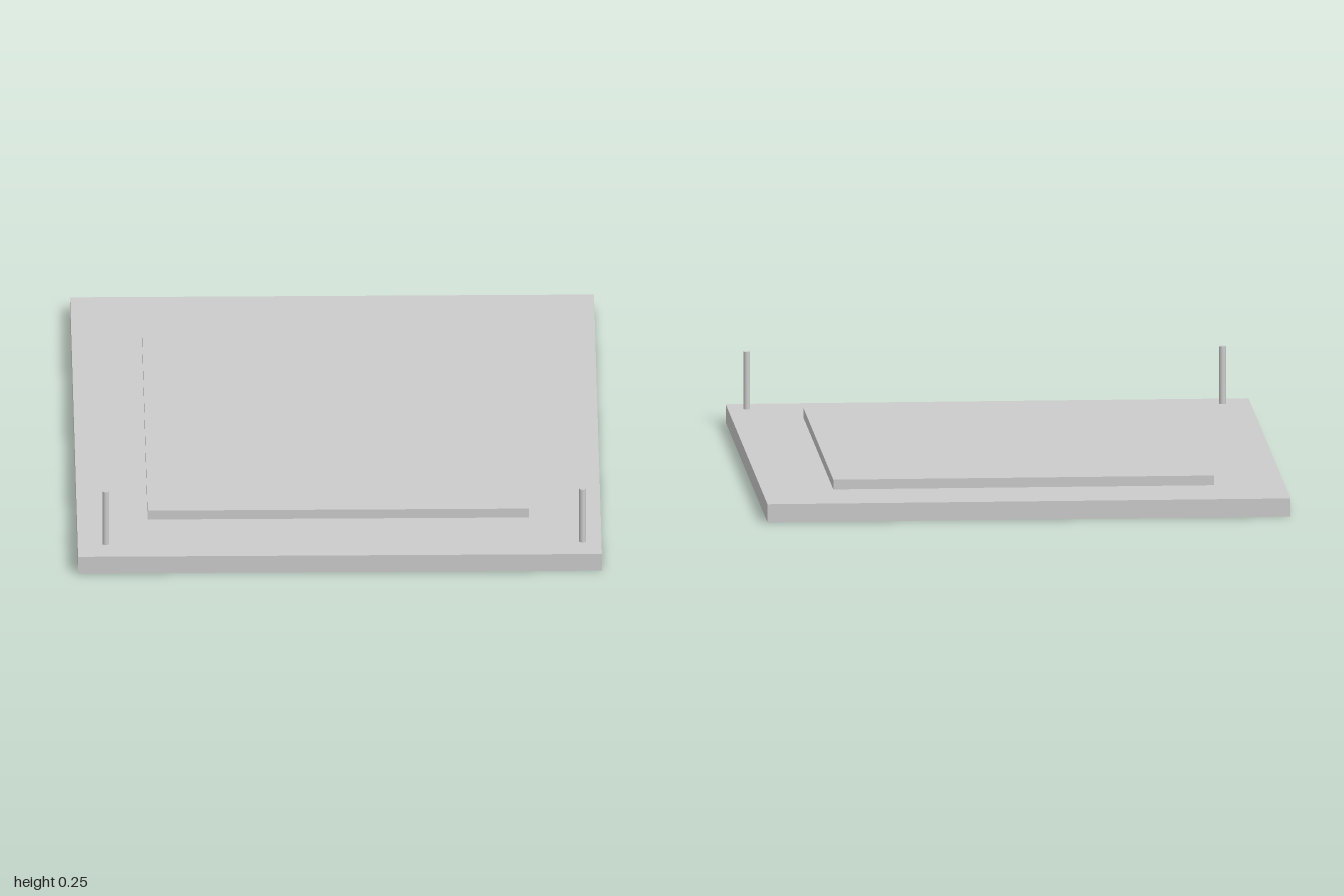
import * as THREE from 'three';

export function createModel() {
  const model = new THREE.Group();
  const material = new THREE.MeshStandardMaterial({ color: 0xcccccc });

  const add = (name, geometry, x, y, z) => {
    const mesh = new THREE.Mesh(geometry, material);
    mesh.name = name;
    mesh.position.set(x, y, z);
    model.add(mesh);
  };

  // Base slab standing on the ground
  const baseTop = 0.06;
  add('baseSlab', new THREE.BoxGeometry(1.71, baseTop, 2), 0, baseTop / 2, 0);

  // Thin raised platform on the slab
  const platformHeight = 0.032;
  add('raisedPlatform', new THREE.BoxGeometry(1.245, platformHeight, 1.435),
    -0.002, baseTop + platformHeight / 2, -0.002);

  // Slim round posts near the two front corners
  const postHeight = 0.19;
  const postGeometry = new THREE.CylinderGeometry(0.011, 0.011, postHeight, 24);
  for (const [name, x] of [['rightPost', -0.763], ['leftPost', 0.793]]) {
    add(name, postGeometry, x, baseTop + postHeight / 2, 0.9);
  }

  return model;
}
